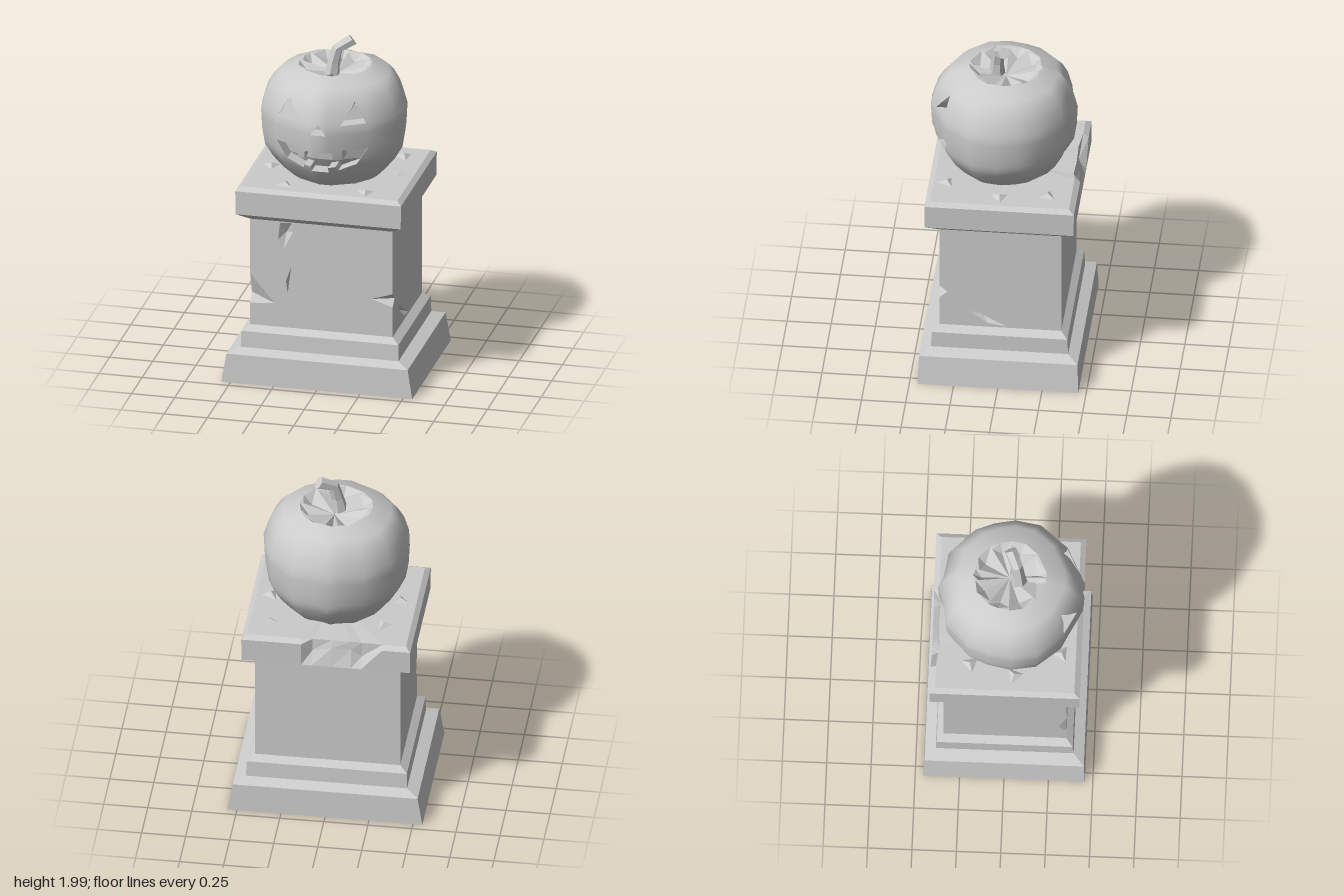
import * as THREE from 'three';

const flat = new THREE.MeshStandardMaterial({ color: 0xcccccc, side: THREE.DoubleSide, flatShading: true });
const smooth = new THREE.MeshStandardMaterial({ color: 0xcccccc, side: THREE.DoubleSide });

function trisMesh(name, pos, normals) {
  const g = new THREE.BufferGeometry();
  g.setAttribute('position', new THREE.Float32BufferAttribute(pos.flat(), 3));
  if (normals) g.setAttribute('normal', new THREE.Float32BufferAttribute(normals.flat(), 3));
  else g.computeVertexNormals();
  const m = new THREE.Mesh(g, normals ? smooth : flat);
  m.name = name;
  return m;
}
const quad = (a, b, c, d) => [a, b, c, a, c, d];

// ---------- Pedestal ----------
// Rectangular ring with extra points along the back edge; wear = amount of chipping
const backX = [0.14, 0.08, -0.03, -0.14, -0.2, -0.32];
const wearZ = [0, 0.04, 0.025, 0.035, 0.045, 0], wearY = [0, 0.06, 0.03, 0.035, 0.08, 0];
function ring([y, x, z, wear = 0, drop = 0]) {
  return [[-x, y, z], [x, y, z], [x, y, -z],
    ...backX.map((bx, i) => [bx, y - wearY[i] * drop, -z + wearZ[i] * wear]), [-x, y, -z]];
}
function loft(name, sections, capped) {
  const rings = sections.map(ring), pos = [];
  for (let k = 0; k + 1 < rings.length; k++) {
    const a = rings[k], b = rings[k + 1], n = a.length;
    for (let i = 0; i < n; i++) pos.push(...quad(a[i], a[(i + 1) % n], b[(i + 1) % n], b[i]));
  }
  if (capped) {
    const t = rings.at(-1), y = sections.at(-1)[0];
    t.forEach((p, i) => pos.push(p, t[(i + 1) % t.length], [0, y, 0]));
  }
  return trisMesh(name, pos);
}

// Shaft wall with sunken chips: each chip is a hole filled by a fan to a deep point
function wall(name, outline, chips, angle, offset) {
  const grp = new THREE.Group();
  grp.name = name;
  const v2 = pts => pts.map(p => new THREE.Vector2(...p));
  const shape = new THREE.Shape(v2(outline));
  chips.forEach(c => shape.holes.push(new THREE.Path(v2(c))));
  const face = new THREE.Mesh(new THREE.ShapeGeometry(shape), flat);
  face.name = name + 'Face';
  grp.add(face);
  chips.forEach(c => {
    const mid = [0, 1].map(k => c.reduce((s, p) => s + p[k], 0) / c.length);
    const pos = [];
    c.forEach((p, i) => pos.push([...p, 0], [...c[(i + 1) % c.length], 0], [...mid, -0.035]));
    grp.add(trisMesh('chip', pos));
  });
  grp.rotation.y = angle;
  grp.position.set(Math.sin(angle) * offset, 0, Math.cos(angle) * offset);
  return grp;
}

function makePedestal() {
  const g = new THREE.Group();
  g.name = 'pedestal';
  g.add(loft('base', [[0, 0.553, 0.455], [0.17, 0.525, 0.448], [0.195, 0.457, 0.388],
    [0.29, 0.455, 0.383], [0.32, 0.413, 0.345]]));
  g.add(loft('cornice', [[0.96, 0.413, 0.345], [1.01, 0.478, 0.421], [1.15, 0.48, 0.423, 1, 1],
    [1.17, 0.452, 0.392, 0.3, 0.1]], true));
  const X = 0.413, Z = 0.345, b = 0.32, t = 0.96;
  g.add(wall('frontWall', [[-X, b], [X, b], [X, 0.5], [0.29, 0.54], [X, 0.58], [X, t], [-X, t], [-X, 0.63],
    [-0.27, 0.46], [-X, 0.45]], [
    [[-0.24, 0.95], [-0.17, 0.955], [-0.165, 0.9], [-0.22, 0.79], [-0.25, 0.85]],
    [[-0.175, 0.69], [-0.205, 0.6], [-0.195, 0.53]]], 0, Z));
  g.add(wall('leftWall', [[-Z, b], [Z, b], [Z, t], [-Z, t], [-Z, 0.58], [-0.3, 0.54], [-Z, 0.5]],
    [[[-0.22, 0.47], [-0.1, 0.4], [0.03, 0.33], [-0.07, 0.345], [-0.17, 0.41]]], Math.PI / 2, X));
  g.add(wall('rightWall', [[-Z, b], [Z, b], [Z, 0.45], [0.3, 0.5], [Z, 0.63], [Z, t], [-Z, t]], [], -Math.PI / 2, X));
  g.add(wall('backWall', [[-X, b], [X, b], [X, t], [-X, t]], [], Math.PI, Z));
  // Broken corners joining front and side notches
  for (const [s, hi, lo, fx, fy, sy] of [[1, 0.58, 0.5, 0.29, 0.54, 0.54], [-1, 0.63, 0.45, 0.27, 0.46, 0.5]]) {
    const f = [s * fx, fy, Z], d = [s * X, sy, 0.3];
    g.add(trisMesh('brokenCorner', [[s * X, hi, Z], f, d, [s * X, lo, Z], d, f]));
  }
  // Loose shards lying on the top
  [[0.33, -0.26, 0.4], [0.37, 0.01, 1.7], [-0.36, 0.05, 0.2], [0.25, 0.32, 2.2], [-0.22, 0.31, 1], [-0.3, -0.2, 2.8]]
    .forEach(([x, z, r]) => {
      const m = new THREE.Mesh(new THREE.ConeGeometry(0.06, 0.025, 3), flat);
      m.name = 'shard';
      m.position.set(x, 1.18, z);
      m.rotation.y = r;
      g.add(m);
    });
  return g;
}

// ---------- Pumpkin ----------
// Half outline at the widest level, from front to back; u is the index along it
const outline = [[0, 0.432], [0.06, 0.43], [0.27, 0.325], [0.39, 0.18], [0.415, 0.03], [0.39, -0.1],
  [0.345, -0.21], [0.21, -0.342], [0.07, -0.365], [0, -0.395]];
const U = outline.length - 1;
// Height against fraction of full width
const profile = [[1.165, 0.58], [1.2, 0.69], [1.27, 0.83], [1.35, 0.945], [1.45, 0.985], [1.57, 1],
  [1.67, 0.93], [1.73, 0.85], [1.775, 0.75], [1.815, 0.5]];
function width(y) {
  const k = Math.max(1, Math.min(profile.length - 1, profile.findIndex(p => p[0] >= y)));
  const [a, b] = y > 1.815 ? profile.slice(-2) : [profile[k - 1], profile[k]];
  return a[1] + (b[1] - a[1]) * (y - a[0]) / (b[0] - a[0]);
}
function skin(u, y, depth = 0) {
  u = u > U ? u - 2 * U : u < -U ? u + 2 * U : u;
  const a = Math.abs(u), k = Math.min(U - 1, Math.floor(a)), t = a - k, f = width(y);
  const [p, q] = [outline[k], outline[k + 1]];
  return [(u < 0 ? -1 : 1) * (p[0] + (q[0] - p[0]) * t) * f, y, (p[1] + (q[1] - p[1]) * t) * f - depth];
}
function skinNormal(u, y) {
  const v = (a, b) => new THREE.Vector3(...a).sub(new THREE.Vector3(...b));
  const du = v(skin(u + 0.6, y), skin(u - 0.6, y));
  const dy = v(skin(u, Math.min(1.815, y + 0.04)), skin(u, Math.max(1.165, y - 0.04)));
  return du.cross(dy).normalize().toArray();
}
function toU([x, y]) {
  const a = Math.abs(x) / width(y);
  return [Math.sign(x) * (a < 0.06 ? a / 0.06 : 1 + (a - 0.06) / 0.21), y];
}

function makePumpkin() {
  const g = new THREE.Group();
  g.name = 'pumpkin';
  const flip = pts => pts.map(([x, y]) => [-x, y]).reverse();
  const eye = [[0.12, 1.59], [0.255, 1.595], [0.185, 1.715]];
  const halfMouth = [[0.05, 1.295], [0.05, 1.33], [0.09, 1.335], [0.1, 1.305], [0.2, 1.345], [0.265, 1.445],
    [0.13, 1.44], [0.13, 1.38], [0.085, 1.38], [0.08, 1.43]];
  const openings = [eye, flip(eye), [[-0.045, 1.535], [0.045, 1.535], [0, 1.6]],
    [...halfMouth, ...flip(halfMouth)]].map(o => o.map(toU));
  const edges = openings.flatMap(o => o.map((p, i) => [p, o[(i + 1) % o.length]]));

  // Cut the skin into level bands; alternate spans are skin and sunken opening floor
  const ys = [...new Set([...profile.map(p => p[0]), ...edges.map(e => e[0][1])])].sort((a, b) => a - b);
  const pos = [], nor = [], floor = [];
  for (let b = 0; b + 1 < ys.length; b++) {
    const [y0, y1] = [ys[b], ys[b + 1]], mid = (y0 + y1) / 2;
    const at = ([p, q], y) => p[0] + (q[0] - p[0]) * (y - p[1]) / (q[1] - p[1]);
    const cuts = edges.filter(([p, q]) => (p[1] < mid) !== (q[1] < mid))
      .sort((e, f) => at(e, mid) - at(f, mid)).map(e => [at(e, y0), at(e, y1)]);
    const spans = [[-U, -U], ...cuts, [U, U]];
    for (let s = 0; s + 1 < spans.length; s++) {
      const [l, r] = [spans[s], spans[s + 1]];
      for (let k = -U; k < U; k++) {
        const c = v => Math.max(k, Math.min(k + 1, v));
        const [a0, a1, b0, b1] = [c(l[0]), c(l[1]), c(r[0]), c(r[1])];
        if (b0 - a0 < 1e-6 && b1 - a1 < 1e-6) continue;
        const uv = quad([a0, y0], [b0, y0], [b1, y1], [a1, y1]);
        if (s % 2) floor.push(...uv.map(p => skin(...p, 0.09)));
        else uv.forEach(p => { pos.push(skin(...p)); nor.push(skinNormal(...p)); });
      }
    }
  }
  g.add(trisMesh('pumpkinSkin', pos, nor), trisMesh('carvedFloor', floor));

  // Thickness of the carved openings
  const sides = [];
  for (const [p, q] of edges) for (let i = 0; i < 4; i++) {
    const m = t => [p[0] + (q[0] - p[0]) * t, p[1] + (q[1] - p[1]) * t];
    const [a, b] = [m(i / 4), m((i + 1) / 4)];
    sides.push(...quad(skin(...a), skin(...b), skin(...b, 0.09), skin(...a, 0.09)));
  }
  g.add(trisMesh('carvedSides', sides));

  // Folded hollow around the stem
  const cap = [], inner = u => {
    const [x, , z] = skin(u, 1.815);
    return Math.abs(u) % 2 ? [x * 0.75, 1.77, z * 0.75] : [x * 0.9, 1.812, z * 0.9];
  };
  for (let u = -U; u < U; u++) {
    cap.push(...quad(skin(u, 1.815), skin(u + 1, 1.815), inner(u + 1), inner(u)));
    cap.push(inner(u), inner(u + 1), [0.01, 1.755, 0.01]);
  }
  g.add(trisMesh('stemHollow', cap));

  // Bent stem: the rings of a cylinder moved along a crooked path
  const path = [[0.1, 1.965, 0.01, 0.037, -0.95], [0.02, 1.92, 0.05, 0.034, -0.55],
    [0, 1.84, 0.06, 0.036, -0.1], [-0.015, 1.73, 0.065, 0.052, 0]];
  const geo = new THREE.CylinderGeometry(1, 1, 3, 6, 3), p = geo.attributes.position, v = new THREE.Vector3();
  for (let i = 0; i < p.count; i++) {
    v.fromBufferAttribute(p, i);
    const [x, y, z, r, tilt] = path[Math.round(1.5 - v.y)];
    v.setY(0).multiplyScalar(r).applyAxisAngle(new THREE.Vector3(0.4, 0, 0.9).normalize(), tilt);
    p.setXYZ(i, x + v.x, y + v.y, z + v.z);
  }
  const stem = new THREE.Mesh(geo, flat);
  stem.name = 'stem';
  g.add(stem);
  return g;
}

export function createModel() {
  const model = new THREE.Group();
  model.name = 'pumpkinOnPedestal';
  model.add(makePedestal(), makePumpkin());
  return model;
}
